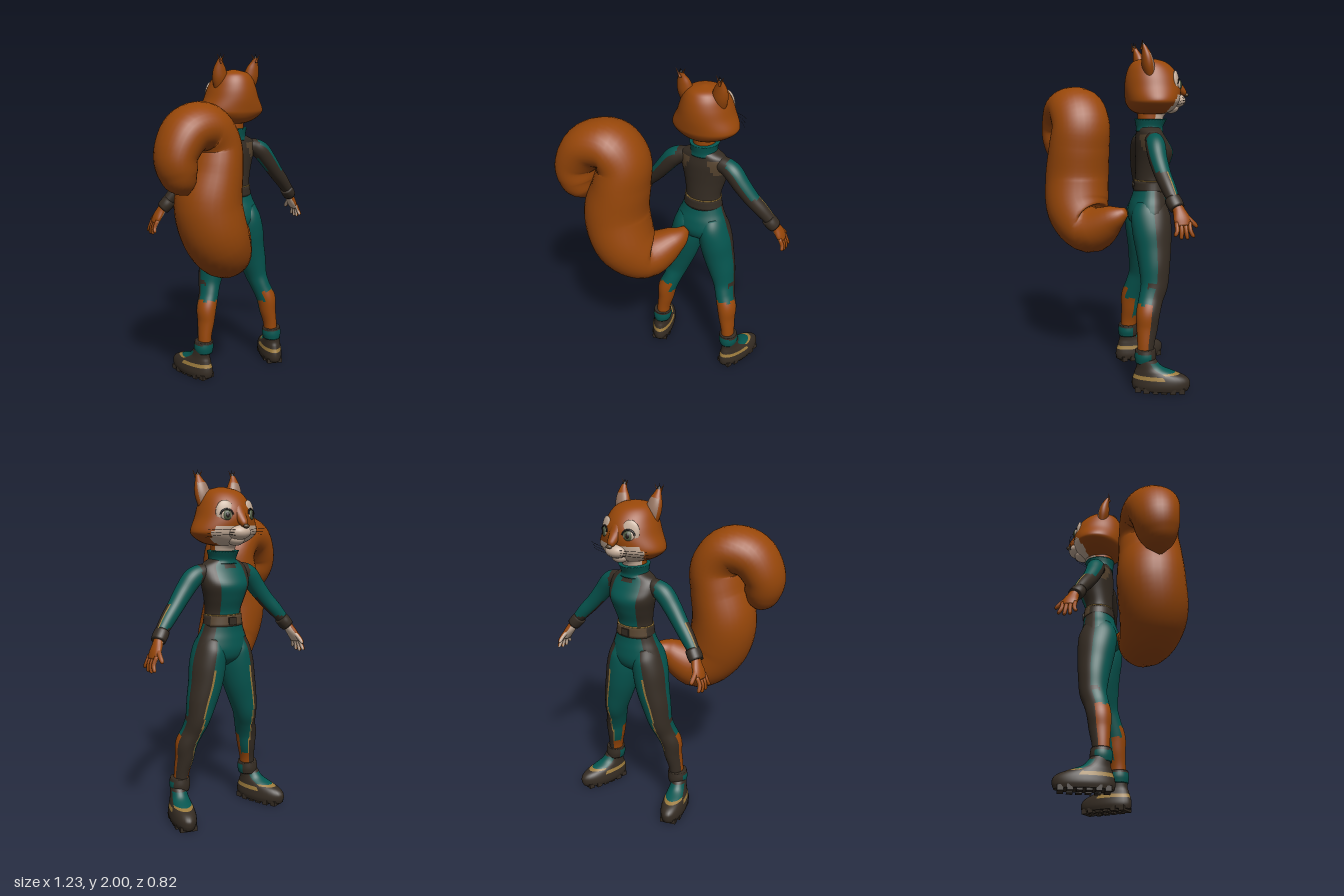
import * as THREE from 'three';

const CX = 0.08; // body centre line
const mat = (name, color) => Object.assign(new THREE.MeshStandardMaterial({ color }), { name });

export function createModel() {
  const root = new THREE.Group();
  root.name = 'squirrelHero';
  const M = {
    fur: mat('orange fur', 0x984709), teal: mat('teal suit', 0x055650), dark: mat('dark panel', 0x352c23),
    gold: mat('gold trim', 0x9c7b3d), cream: mat('cream fur', 0xc9b19d), brown: mat('brown leather', 0x57442f),
    black: mat('black', 0x1b1511), iris: mat('green iris', 0x4c573e), ear: mat('inner ear', 0x9a7763),
  };

  // Sweeps ellipses along points [x, y, z, ra, rb]; pick(o, f, p) names the colour,
  // o = outward share, f = forward share (-z) of the surface direction; flat keeps rings level.
  function sweep(name, pts, pick, { s = 1, cx = CX, n = 32, steps = 6, flat = false, parent = root } = {}) {
    const path = new THREE.CatmullRomCurve3(pts.map(p => new THREE.Vector3(cx + s * p[0], p[1], p[2])), false, 'catmullrom', 0.5);
    const size = new THREE.CatmullRomCurve3(pts.map(p => new THREE.Vector3(p[3], p[4] ?? p[3], 0)), false, 'catmullrom', 0.5);
    const rows = (pts.length - 1) * steps, pos = [], faces = {};
    const choose = typeof pick === 'function' ? pick : () => pick;
    for (let i = 0; i <= rows; i++) {
      const c = path.getPoint(i / rows), r = size.getPoint(i / rows);
      const T = flat ? new THREE.Vector3(0, 1, 0) : path.getTangent(i / rows);
      const B = new THREE.Vector3(0, 0, 1).addScaledVector(T, -T.z).normalize();
      const N = new THREE.Vector3().crossVectors(T, B);
      for (let j = 0; j < n; j++) {
        const a = j / n * Math.PI * 2;
        const v = c.clone().addScaledVector(N, Math.cos(a) * Math.max(r.x, 0.002)).addScaledVector(B, Math.sin(a) * Math.max(r.y, 0.002));
        pos.push(v.x, v.y, v.z);
      }
    }
    const add = (key, ...ids) => (faces[key] ??= []).push(...ids);
    const at = i => new THREE.Vector3().fromArray(pos, i * 3);
    for (let i = 0; i < rows; i++) for (let j = 0; j < n; j++) {
      const k = (j + 1) % n, a = i * n + j, b = i * n + k, c = a + n, d = b + n;
      const ang = (j + 0.5) / n * Math.PI * 2;
      const p = at(a).add(at(d)).multiplyScalar(0.5);
      add(choose(Math.cos(ang) * s, -Math.sin(ang), p), a, c, b, b, c, d);
    }
    // end caps
    [0, rows].forEach((row, e) => {
      const c = path.getPoint(e), id = pos.length / 3, key = choose(0, 0, c);
      pos.push(c.x, c.y, c.z);
      for (let j = 0; j < n; j++) {
        const a = row * n + j, b = row * n + (j + 1) % n;
        e ? add(key, id, b, a) : add(key, id, a, b);
      }
    });
    const g = new THREE.BufferGeometry(), index = [], mats = [];
    for (const key in faces) {
      g.addGroup(index.length, faces[key].length, mats.length);
      for (const id of faces[key]) index.push(id);
      mats.push(M[key]);
    }
    g.setAttribute('position', new THREE.Float32BufferAttribute(pos, 3));
    g.setIndex(index);
    g.computeVertexNormals();
    const mesh = new THREE.Mesh(g, mats);
    mesh.name = name;
    parent.add(mesh);
  }
  function part(name, geo, key, x, y, z, parent = root) {
    const m = new THREE.Mesh(geo, M[key]);
    m.name = name;
    m.position.set(x, y, z);
    parent.add(m);
    return m;
  }
  const ball = (name, key, x, y, z, a, b, c, parent) =>
    part(name, new THREE.SphereGeometry(1, 24, 16), key, x, y, z, parent).scale.set(a, b, c);

  // Tail curling over to the side
  sweep('tail', [[0.04, 1.0, -0.045, 0.025], [0, 0.955, 0.025, 0.08], [-0.13, 0.873, 0.135, 0.152, 0.155], [-0.235, 0.98, 0.205, 0.185, 0.195],
    [-0.285, 1.17, 0.205, 0.19, 0.2], [-0.25, 1.36, 0.195, 0.162, 0.19], [-0.235, 1.5, 0.185, 0.143, 0.18], [-0.31, 1.6, 0.205, 0.138, 0.175],
    [-0.43, 1.58, 0.24, 0.13, 0.16], [-0.503, 1.47, 0.265, 0.115, 0.14], [-0.495, 1.37, 0.275, 0.103, 0.12], [-0.467, 1.3, 0.28, 0.07, 0.08],
    [-0.445, 1.255, 0.28, 0.008]], 'fur', { cx: 0 });

  // Hips, torso, belt and collar
  sweep('hips', [[0, 0.9, -0.17, 0.03, 0.05], [0, 0.94, -0.168, 0.14, 0.1], [0, 0.99, -0.167, 0.172, 0.118], [0, 1.05, -0.17, 0.157, 0.112],
    [0, 1.1, -0.175, 0.135, 0.1], [0, 1.15, -0.18, 0.118, 0.092]],
  (o, f) => (Math.abs(o) > 0.65 && f > 0 ? 'dark' : 'teal'), { flat: true });
  sweep('torso', [[0, 1.14, -0.18, 0.116, 0.09], [0, 1.21, -0.18, 0.109, 0.087], [0, 1.29, -0.195, 0.126, 0.1], [0, 1.36, -0.203, 0.146, 0.109],
    [0, 1.42, -0.188, 0.153, 0.094], [0, 1.47, -0.175, 0.138, 0.075], [0, 1.505, -0.172, 0.075, 0.07]],
  (o, f, p) => {
    const side = Math.abs(o);
    if (f < 0 && p.y > 1.37 && p.y < 1.46 && side > 0.35 + (1.46 - p.y) * 3) return 'brown';
    if (f < 0 || side > 0.65 || (side < 0.25 && p.y > 1.455)) return 'dark';
    return side > 0.6 && p.y > 1.2 && p.y < 1.33 ? 'gold' : 'teal';
  }, { n: 48, flat: true });
  sweep('belt', [[0, 1.13, -0.18, 0.123, 0.097], [0, 1.16, -0.18, 0.118, 0.095], [0, 1.19, -0.18, 0.114, 0.093]],
    (o, f) => (f > 0.3 ? 'brown' : 'dark'), { steps: 2, flat: true });
  sweep('beltPiping', [[0, 1.19, -0.18, 0.114, 0.092], [0, 1.196, -0.18, 0.114, 0.092]], 'gold', { steps: 1, flat: true });
  part('buckle', new THREE.BoxGeometry(0.05, 0.042, 0.01), 'dark', CX, 1.16, -0.276);
  sweep('collar', [[0, 1.478, -0.175, 0.092, 0.08], [0, 1.505, -0.175, 0.078, 0.08], [0, 1.55, -0.182, 0.088, 0.095]], 'teal', { flat: true });
  sweep('neck', [[0, 1.5, -0.175, 0.065, 0.07], [0, 1.57, -0.18, 0.065, 0.078], [0, 1.62, -0.19, 0.07, 0.1]], (o, f) => (f > 0.2 ? 'cream' : 'fur'));

  // Head and muzzle
  sweep('head', [[0, 1.575, -0.185, 0.04, 0.05], [0, 1.585, -0.186, 0.1, 0.095], [0, 1.607, -0.187, 0.152, 0.128], [0, 1.64, -0.188, 0.194, 0.15],
    [0, 1.67, -0.19, 0.197, 0.158], [0, 1.73, -0.192, 0.168, 0.164], [0, 1.79, -0.188, 0.146, 0.154], [0, 1.845, -0.178, 0.12, 0.126],
    [0, 1.88, -0.168, 0.082, 0.085], [0, 1.898, -0.162, 0.01]],
  (o, f, p) => (p.y < 1.69 && p.z < -0.245 - (p.y - 1.58) * 0.6 ? 'cream' : 'fur'), { n: 64, flat: true });
  ball('muzzle', 'cream', CX, 1.655, -0.33, 0.068, 0.042, 0.06);
  ball('chin', 'cream', CX, 1.617, -0.3, 0.05, 0.037, 0.05);
  sweep('noseBridge', [[0, 1.688, -0.39, 0.012, 0.01], [0, 1.703, -0.375, 0.024, 0.022], [0, 1.74, -0.342, 0.033, 0.028], [0, 1.785, -0.326, 0.032, 0.018],
    [0, 1.83, -0.295, 0.02, 0.01]], 'fur', { n: 24 });
  ball('nose', 'brown', CX, 1.688, -0.395, 0.018, 0.012, 0.014);
  ball('mouth', 'black', CX, 1.635, -0.37, 0.028, 0.003, 0.012);

  for (const s of [1, -1]) {
    // Eye
    const eye = new THREE.Group();
    eye.name = 'eye';
    eye.position.set(CX + s * 0.078, 1.745, -0.322);
    eye.rotation.set(-0.12, Math.PI - s * 0.45, 0, 'YXZ');
    root.add(eye);
    ball('eyePatch', 'cream', s * -0.008, 0.018, -0.006, 0.05, 0.064, 0.016, eye);
    ball('eyeball', 'cream', 0, 0, 0.002, 0.034, 0.03, 0.018, eye);
    ball('iris', 'iris', s * 0.002, 0, 0.011, 0.024, 0.027, 0.012, eye);
    ball('pupil', 'black', s * 0.003, 0, 0.017, 0.013, 0.017, 0.008, eye);
    const lash = part('eyelash', new THREE.TorusGeometry(0.034, 0.0055, 6, 20, 2.8), 'black', 0, -0.003, 0.009, eye);
    lash.rotation.z = 0.17;

    // Ear with a tuft at the tip
    sweep('ear', [[0.09, 1.79, -0.15, 0.045, 0.03], [0.105, 1.85, -0.14, 0.048, 0.036], [0.113, 1.9, -0.13, 0.04, 0.03],
      [0.118, 1.94, -0.117, 0.022, 0.018], [0.118, 1.975, -0.103, 0.007]],
    (o, f, p) => (f > 0.6 && p.y < 1.92 ? 'ear' : p.y > 1.963 ? 'black' : 'fur'), { s });
    for (let i = -1; i <= 1; i++) {
      const tuft = part('earTuft', new THREE.ConeGeometry(0.008, 0.06, 6), i ? 'fur' : 'black', CX + s * (0.118 + i * 0.014), 1.965, -0.104 + i * 0.006);
      tuft.rotation.z = -s * i * 0.5;
    }

    // Whiskers
    for (let i = 0; i < 3; i++) {
      const y = 1.64 + i * 0.014;
      const c = new THREE.QuadraticBezierCurve3(new THREE.Vector3(CX + s * 0.05, y, -0.365), new THREE.Vector3(CX + s * 0.13, y + 0.01, -0.37),
        new THREE.Vector3(CX + s * 0.193, y - 0.01 + i * 0.006, -0.29 - i * 0.012));
      part('whisker', new THREE.TubeGeometry(c, 10, 0.001, 4), 'black', 0, 0, 0);
    }

    // Leg: dark panel on the outer front edged in gold, bare fur on the calf
    sweep('leg', [[0.245, 0.17, -0.1, 0.04, 0.045], [0.24, 0.27, -0.105, 0.042, 0.05], [0.226, 0.36, -0.115, 0.051, 0.062], [0.218, 0.44, -0.122, 0.06, 0.069],
      [0.19, 0.52, -0.145, 0.058, 0.071], [0.168, 0.6, -0.17, 0.068, 0.08], [0.144, 0.7, -0.175, 0.086, 0.091], [0.118, 0.8, -0.175, 0.096, 0.104],
      [0.1, 0.9, -0.17, 0.1, 0.115], [0.085, 0.99, -0.167, 0.088, 0.115], [0.07, 1.06, -0.172, 0.07, 0.09]],
    (o, f, p) => {
      const a = Math.atan2(f, o), edge = 1.35 + 0.55 * THREE.MathUtils.clamp((0.62 - p.y) / 0.22, 0, 1);
      if (p.y < (o < -0.6 ? 0.43 : 0.5) && f < 0.1) return 'fur';
      if (a > 0 && a < edge) return 'dark';
      if (a > -0.6 && a <= 0 && p.y > 0.59 && p.y < 0.615) return 'dark';
      if (a >= edge && a < edge + 0.14 && p.y > 0.3 && p.y < 0.9) return 'gold';
      return p.y < 0.3 ? 'fur' : 'teal';
    }, { s, n: 48 });

    // Boot with a strap across the tongue and a heel stripe
    const boot = new THREE.Group();
    boot.name = 'boot';
    boot.position.set(CX + s * 0.262, 0, -0.1);
    boot.rotation.y = -s * 0.3;
    root.add(boot);
    sweep('shoe', [[0, 0.012, -0.085, 0.067, 0.16], [0, 0.04, -0.087, 0.073, 0.168], [0, 0.07, -0.087, 0.07, 0.165], [0, 0.095, -0.077, 0.064, 0.147],
      [0, 0.118, -0.05, 0.057, 0.113], [0, 0.145, -0.02, 0.05, 0.074], [0, 0.19, 0, 0.046, 0.055]],
    (o, f, p) => {
      if (p.y > 0.077 && p.y < 0.1 && p.z > -0.11) return 'gold';
      if (p.y < 0.107 || p.y > 0.17 || f < 0.4) return 'dark';
      return p.y < 0.116 ? 'gold' : 'teal';
    }, { s, cx: 0, parent: boot, flat: true, steps: 10 });
    for (let i = 0; i < 6; i++) for (const side of [1, -1])
      part('soleTread', new THREE.BoxGeometry(0.05, 0.03, 0.034), 'dark', side * (i % 5 ? 0.037 : 0.024), 0.015, 0.04 - i * 0.05, boot);
    sweep('ankleCuff', [[0.25, 0.165, -0.1, 0.054, 0.058], [0.25, 0.2, -0.1, 0.061, 0.062], [0.248, 0.24, -0.1, 0.056, 0.058]],
      (o, f, p) => (p.y > 0.225 || f > 0.3 ? 'dark' : 'teal'), { s });

    // Arm and cuff
    sweep('arm', [[0.435, 1.12, -0.21, 0.033], [0.375, 1.19, -0.192, 0.042], [0.315, 1.255, -0.176, 0.046], [0.25, 1.335, -0.165, 0.052],
      [0.195, 1.4, -0.165, 0.056], [0.14, 1.428, -0.17, 0.05], [0.07, 1.435, -0.17, 0.042]],
    (o, f, p) => {
      if (Math.abs(p.x - CX) < 0.165) return 'dark';
      if (p.y > 1.27) return f < -0.3 && o < 0.4 ? 'dark' : 'teal';
      if (p.y < 1.15) return 'dark';
      return f > 0.4 ? 'teal' : f > 0.2 && o > 0 ? 'gold' : 'dark';
    }, { s });
    sweep('wristCuff', [[0.455, 1.085, -0.222, 0.038, 0.042], [0.435, 1.11, -0.212, 0.041, 0.046], [0.415, 1.135, -0.204, 0.04, 0.043]], 'dark', { s, steps: 3 });

    // Hand
    sweep('palm', [[0.502, 0.995, -0.242, 0.017, 0.04], [0.485, 1.03, -0.24, 0.023, 0.046], [0.462, 1.07, -0.23, 0.026, 0.035], [0.45, 1.1, -0.22, 0.024, 0.028]],
      (o) => (o < -0.3 ? 'cream' : 'fur'), { s, n: 20, steps: 4 });
    for (let i = 0; i < 4; i++) {
      const z = -0.206 - i * 0.024, drop = [0.05, 0.065, 0.067, 0.058][i];
      sweep('finger', [[0.523, 0.995 - drop, z + 0.012 - i * 0.009, 0.005], [0.521, 1.003 - drop, z + 0.01 - i * 0.008, 0.0105],
        [0.516, 0.975, z, 0.012], [0.497, 1.015, z, 0.012]], (o) => (o < -0.3 ? 'cream' : 'fur'), { s, n: 10, steps: 3 });
    }
    sweep('thumb', [[0.49, 0.985, -0.322, 0.006], [0.488, 0.997, -0.314, 0.012], [0.484, 1.025, -0.285, 0.014], [0.47, 1.06, -0.245, 0.016]],
      (o) => (o < -0.3 ? 'cream' : 'fur'), { s, n: 10, steps: 3 });
  }
  return root;
}
